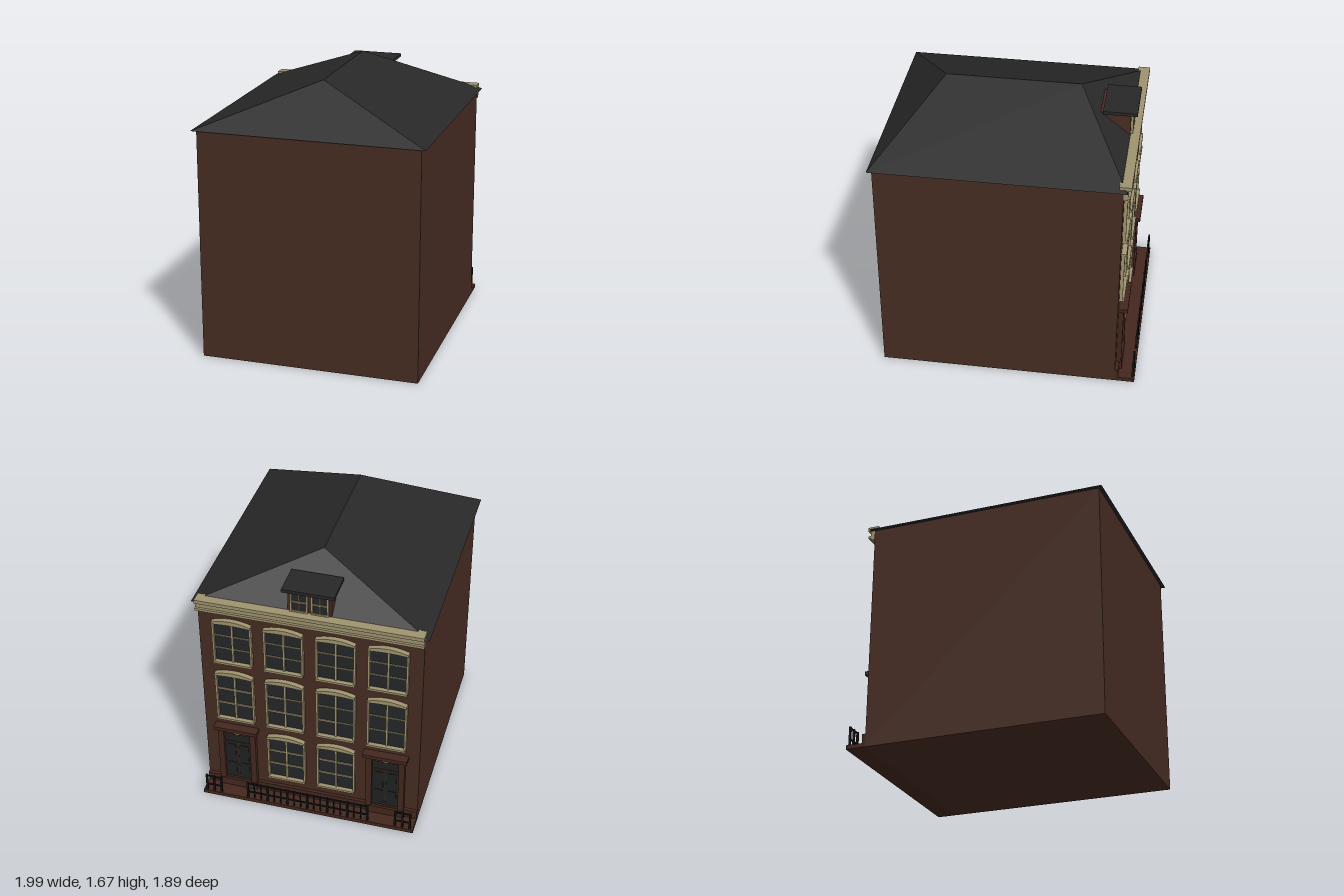
import * as THREE from 'three';

const mat = (name, color) => Object.assign(new THREE.MeshStandardMaterial({ color }), { name });

export function createModel() {
  const brick = mat('brick', 0x472d23);
  const brownTrim = mat('brown trim', 0x43271d);
  const slate = mat('roof slate', 0x282828);
  const cream = mat('cream paint', 0xa0946f);
  const glass = mat('window glass', 0x252627);
  const doorPaint = mat('door paint', 0x202121);
  const iron = mat('black iron', 0x151515);

  const W = 1.323, F = 0.7135; // facade width, facade plane
  const house = new THREE.Group();
  house.name = 'house';

  const add = (parent, name, geometry, material) => {
    const m = new THREE.Mesh(geometry, material);
    m.name = name;
    parent.add(m);
    return m;
  };
  // box given by its limits
  const box = (parent, name, material, x0, x1, y0, y1, z0, z1) => {
    const m = add(parent, name, new THREE.BoxGeometry(x1 - x0, y1 - y0, z1 - z0), material);
    m.position.set((x0 + x1) / 2, (y0 + y1) / 2, (z0 + z1) / 2);
    return m;
  };
  const group = (name, x = 0) => {
    const g = new THREE.Group();
    g.name = name;
    g.position.x = x;
    house.add(g);
    return g;
  };

  // walls, pavement slab and plinth
  box(house, 'walls', brick, -W / 2, W / 2, 0, 1.4, -F, F);
  box(house, 'pavementSlab', brownTrim, -W / 2, W / 2, 0, 0.025, F, F + 0.12);
  box(house, 'plinth', brownTrim, -W / 2, W / 2, 0.025, 0.08, F, F + 0.02);

  // hipped roof with a short ridge running front to back
  const rx = 0.69, rz = 0.737, ridge = 0.4, eave = 1.4, top = 1.67;
  const a = [-rx, eave, rz], b = [rx, eave, rz], c = [rx, eave, -rz], d = [-rx, eave, -rz];
  const e = [0, top, ridge], f = [0, top, -ridge];
  const tris = [a, b, e, c, d, f, b, c, f, b, f, e, d, a, e, d, e, f, a, d, c, a, c, b];
  const roof = new THREE.BufferGeometry();
  roof.setAttribute('position', new THREE.Float32BufferAttribute(tris.flat(), 3));
  roof.computeVertexNormals();
  add(house, 'roof', roof, slate);

  // stepped front cornice: bottom, top, back, projection
  const cornice = group('cornice');
  [[1.34, 1.352, 0, 0.025], [1.352, 1.368, 0, 0.04], [1.368, 1.405, 0, 0.026], [1.405, 1.428, -0.026, 0.045]]
    .forEach(([y0, y1, back, p]) => box(cornice, 'corniceStep', cream, -0.665, 0.665, y0, y1, F + back, F + p));

  // arched sash windows
  const headShape = (w, h) => {
    const s = new THREE.Shape();
    s.moveTo(-w / 2, 0);
    s.quadraticCurveTo(0, 0.012, w / 2, 0);
    s.lineTo(w / 2, h * 0.4);
    s.quadraticCurveTo(0, h * 1.6, -w / 2, h * 0.4);
    return s;
  };
  const addWindow = (x, y0, y1) => {
    const g = group('window', x);
    const h = 0.112, head = y1 - 0.034, base = y0 + 0.014;
    box(g, 'pane', glass, -h, h, base, head + 0.01, F, F + 0.004);
    for (const s of [-1, 1]) box(g, 'jamb', cream, s * h - 0.006, s * h + 0.006, base, head, F, F + 0.02);
    box(g, 'sill', cream, -0.117, 0.117, y0, base, F, F + 0.03);
    const arch = new THREE.ExtrudeGeometry(headShape(0.234, 0.034), { depth: 0.03, bevelEnabled: false, curveSegments: 10 });
    add(g, 'archedHead', arch, cream).position.set(0, head, F);
    box(g, 'mullion', cream, -0.006, 0.006, base, head + 0.006, F, F + 0.012);
    for (const t of [1, 2]) {
      const y = base + (head - base) * t / 3;
      box(g, 'glazingBar', cream, -h, h, y - 0.004, y + 0.004, F, F + 0.01);
    }
  };
  for (const x of [-0.461, -0.154, 0.154, 0.461]) {
    addWindow(x, 0.98, 1.3);
    addWindow(x, 0.55, 0.92);
    if (Math.abs(x) < 0.3) addWindow(x, 0.14, 0.49);
  }

  // entrances with pilasters, fanlight and cornice
  for (const x of [-0.461, 0.461]) {
    const g = group('entrance', x);
    box(g, 'doorstep', brownTrim, -0.118, 0.118, 0.025, 0.075, F, F + 0.035);
    box(g, 'door', doorPaint, -0.082, 0.082, 0.075, 0.43, F, F + 0.008);
    box(g, 'doorTransom', brownTrim, -0.082, 0.082, 0.365, 0.371, F, F + 0.014);
    box(g, 'doorJoint', brownTrim, -0.002, 0.002, 0.075, 0.365, F, F + 0.01);
    for (const s of [-1, 1]) {
      box(g, 'pilaster', brownTrim, s * 0.1 - 0.018, s * 0.1 + 0.018, 0.025, 0.478, F, F + 0.03);
      for (const [y0, y1] of [[0.1, 0.2], [0.22, 0.345]]) {
        box(g, 'doorPanel', doorPaint, s * 0.041 - 0.025, s * 0.041 + 0.025, y0, y1, F, F + 0.012);
      }
    }
    box(g, 'fanlightPanel', brownTrim, -0.082, 0.082, 0.43, 0.478, F, F + 0.015);
    const fan = new THREE.Shape([[-0.058, 0.476], [-0.035, 0.453], [0, 0.434], [0.035, 0.453], [0.058, 0.476]]
      .map(p => new THREE.Vector2(...p)));
    add(g, 'fanlight', new THREE.ExtrudeGeometry(fan, { depth: 0.006, bevelEnabled: false }), cream).position.z = F + 0.014;
    box(g, 'doorCornice', brownTrim, -0.135, 0.135, 0.478, 0.502, F, F + 0.055);
  }

  // iron railings along the pavement edge
  const addRailing = (x0, x1, bars, postEvery) => {
    const g = group('railing');
    const z = F + 0.108;
    for (const y of [0.07, 0.137]) box(g, 'rail', iron, x0, x1, y - 0.004, y + 0.004, z - 0.004, z + 0.004);
    for (let i = 0; i <= bars; i++) {
      const x = x0 + (x1 - x0) * i / bars, r = i % postEvery === 0 ? 0.006 : 0.0035;
      box(g, 'railingBar', iron, x - r, x + r, 0.025, 0.145, z - r, z + r);
    }
  };
  addRailing(-0.64, -0.548, 2, 1);
  addRailing(-0.377, 0.377, 18, 3);
  addRailing(0.548, 0.64, 2, 1);

  // dormer
  const dormer = group('dormer');
  const dz = 0.702;
  box(dormer, 'dormerBody', brick, -0.128, 0.128, 1.41, 1.57, 0.52, dz);
  box(dormer, 'dormerRoof', slate, -0.153, 0.153, 1.57, 1.59, 0.54, 0.74);
  for (const x of [-0.061, 0.061]) {
    box(dormer, 'dormerPane', glass, x - 0.05, x + 0.05, 1.43, 1.56, dz, dz + 0.005);
    for (const s of [-0.046, 0, 0.046]) {
      const r = s ? 0.005 : 0.003;
      box(dormer, 'dormerUpright', cream, x + s - r, x + s + r, 1.43, 1.56, dz, dz + 0.014);
    }
    for (const y of [1.434, 1.497, 1.556]) {
      box(dormer, 'dormerBar', cream, x - 0.05, x + 0.05, y - 0.004, y + 0.004, dz, dz + 0.013);
    }
  }

  // the house stands at an angle to the axes
  house.rotation.y = 2.005;
  house.position.set(-0.0355, 0, 0.01);
  const model = new THREE.Group();
  model.name = 'townHouse';
  model.add(house);
  return model;
}
